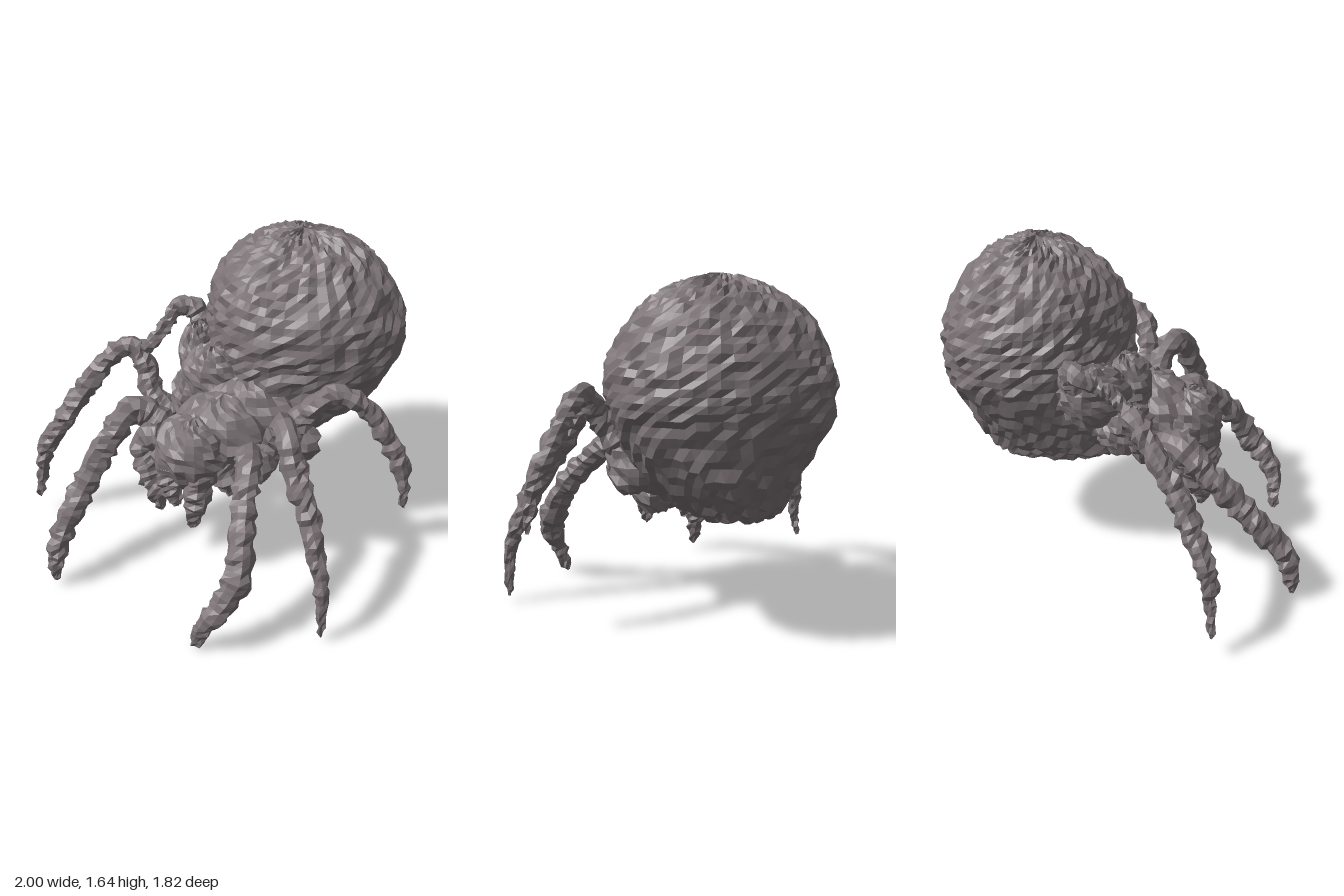
import * as THREE from 'three';

const hide = new THREE.MeshStandardMaterial({ color: 0x7d7477, flatShading: true });
hide.name = 'grey brown hide';

// Repeatable noise from a position, so shared corners move together
function noise(x, y, z) {
  const r = (v) => Math.round(v * 500);
  const s = Math.sin(r(x) * 12.9898 + r(y) * 78.233 + r(z) * 37.719) * 43758.5453;
  return (s - Math.floor(s)) * 2 - 1;
}

// Pushes each vertex in or out from a centre to give the crusty surface
function roughen(geo, amount, centreOf) {
  const p = geo.attributes.position;
  const v = new THREE.Vector3();
  for (let i = 0; i < p.count; i++) {
    v.fromBufferAttribute(p, i);
    const n = noise(v.x, v.y, v.z) * amount;
    const d = v.clone().sub(centreOf(i));
    if (d.length() > 1e-4) v.addScaledVector(d.normalize(), n);
    p.setXYZ(i, v.x, v.y, v.z);
  }
  geo.computeVertexNormals();
  return geo;
}

function part(name, geo) {
  const mesh = new THREE.Mesh(geo, hide);
  mesh.name = name;
  return mesh;
}

// Rough ellipsoid
function lump(name, [x, y, z], [rx, ry, rz], amount = 0.016, seg = 24) {
  const geo = new THREE.SphereGeometry(1, seg, Math.round(seg * 0.7));
  geo.scale(rx, ry, rz).translate(x, y, z);
  const c = new THREE.Vector3(x, y, z);
  return part(name, roughen(geo, amount, () => c));
}

// Knobbly limb through points [x, y, z, radius]
function limb(name, pts, amount = 0.012) {
  const curve = new THREE.CatmullRomCurve3(pts.map((p) => new THREE.Vector3(p[0], p[1], p[2])), false, 'centripetal');
  const steps = (pts.length - 1) * 6;
  const sides = 9;
  const geo = new THREE.TubeGeometry(curve, steps, 1, sides);
  const p = geo.attributes.position;
  const v = new THREE.Vector3();
  const centres = [];
  for (let i = 0; i <= steps; i++) {
    const u = i / steps;
    const c = curve.getPointAt(u);
    // getUtoTmapping keeps each radius at its own control point
    const t = curve.getUtoTmapping(u) * (pts.length - 1);
    const k = Math.min(Math.floor(t), pts.length - 2);
    let r = THREE.MathUtils.lerp(pts[k][3], pts[k + 1][3], t - k);
    r *= 1 + 0.1 * Math.sin(i * 1.7);
    if (i === 0 || i === steps) r = 0.003;
    for (let j = 0; j <= sides; j++) {
      const n = i * (sides + 1) + j;
      v.fromBufferAttribute(p, n).sub(c).multiplyScalar(r).add(c);
      p.setXYZ(n, v.x, v.y, v.z);
      centres.push(c);
    }
  }
  return part(name, roughen(geo, amount, (i) => centres[i]));
}

// Abdomen lofted from level sections: y, x min, x max, z min, z max
function abdomen() {
  const sections = [
    [0.56, 0.22, 0.22, -0.38, -0.38],
    [0.56, 0.02, 0.47, -0.64, -0.08],
    [0.63, -0.06, 0.6, -0.71, 0.0],
    [0.8, -0.11, 0.75, -0.79, 0.06],
    [1.0, -0.13, 0.84, -0.88, 0.07],
    [1.15, -0.13, 0.88, -0.9, 0.08],
    [1.3, -0.11, 0.84, -0.86, 0.06],
    [1.45, -0.04, 0.75, -0.77, -0.04],
    [1.56, 0.1, 0.63, -0.64, -0.17],
    [1.615, 0.22, 0.47, -0.5, -0.3],
    [1.63, 0.34, 0.34, -0.4, -0.4],
  ];
  const curves = [1, 2, 3, 4].map((k) => new THREE.CatmullRomCurve3(
    sections.map((s) => new THREE.Vector3(s[k], s[0], 0)), false, 'centripetal'));
  const rows = 44, cols = 60, pos = [], index = [];
  for (let i = 0; i <= rows; i++) {
    const [a, b, c, d] = curves.map((q) => q.getPoint(i / rows));
    const y = (a.y + b.y + c.y + d.y) / 4;
    // The widest line lies nearer the right side, so that side is fuller
    const cx = THREE.MathUtils.lerp(a.x, b.x, 0.41);
    // Low sections lean towards the left rear corner, high ones slightly away
    const skew = THREE.MathUtils.lerp(-0.42, 0.07, THREE.MathUtils.smoothstep(y, 0.55, 1.05));
    for (let j = 0; j < cols; j++) {
      const t = (j / cols) * Math.PI * 2;
      const cos = Math.cos(t);
      pos.push(cx + cos * (cos > 0 ? b.x - cx : cx - a.x), y,
        (c.x + d.x) / 2 + Math.sin(t + skew) * (d.x - c.x) / 2);
      if (i < rows) {
        const n = (j + 1) % cols, m = i * cols;
        index.push(m + j, m + cols + j, m + n, m + n, m + cols + j, m + cols + n);
      }
    }
  }
  const geo = new THREE.BufferGeometry();
  geo.setAttribute('position', new THREE.Float32BufferAttribute(pos, 3));
  geo.setIndex(index);
  const mid = new THREE.Vector3(0.35, 1.1, -0.4);
  return part('abdomen', roughen(geo, 0.015, () => mid));
}

export function createModel() {
  const g = new THREE.Group();
  g.name = 'spider';

  // Body
  g.add(abdomen());
  g.add(lump('waist', [0.18, 0.78, 0.0], [0.28, 0.24, 0.18]));
  g.add(lump('thorax', [0.07, 0.73, 0.12], [0.25, 0.23, 0.21]));
  g.add(lump('head', [-0.05, 0.71, 0.26], [0.19, 0.19, 0.17]));
  g.add(lump('shoulder', [-0.02, 0.96, -0.06], [0.16, 0.16, 0.13]));
  g.add(lump('sideLump', [-0.15, 0.98, -0.25], [0.09, 0.16, 0.17]));
  g.add(lump('lowerSideLump', [-0.14, 0.8, -0.1], [0.11, 0.15, 0.14]));

  // Leg sockets under and beside the thorax
  [
    [-0.25, 0.66, 0.08], [-0.18, 0.6, 0.2], [0.26, 0.68, 0.24], [0.36, 0.76, 0.15],
    [0.1, 0.54, 0.14], [-0.05, 0.57, 0.1], [0.24, 0.57, 0.08], [0.44, 0.7, 0.04],
  ].forEach((c) => g.add(lump('legSocket', c, [0.1, 0.1, 0.1], 0.016, 12)));

  // Legs, from body to tip
  g.add(limb('rightRearLeg', [
    [-0.22, 0.68, -0.02, 0.06], [-0.35, 0.8, -0.08, 0.06], [-0.42, 0.95, -0.15, 0.055],
    [-0.5, 1.01, -0.16, 0.05], [-0.63, 0.9, -0.11, 0.05], [-0.72, 0.77, -0.05, 0.055],
    [-0.82, 0.61, 0.0, 0.055], [-0.92, 0.43, 0.04, 0.045], [-0.95, 0.28, 0.05, 0.03], [-0.98, 0.11, 0.05, 0.012]]));
  g.add(limb('rightRearLegLink', [
    [-0.43, 0.99, -0.15, 0.04], [-0.34, 1.07, -0.22, 0.03], [-0.29, 1.15, -0.35, 0.045],
    [-0.22, 1.16, -0.38, 0.05], [-0.15, 1.08, -0.36, 0.07], [-0.05, 1.0, -0.33, 0.06]]));
  g.add(limb('rightFrontLeg', [
    [-0.18, 0.65, 0.12, 0.07], [-0.3, 0.73, 0.06, 0.075], [-0.4, 0.79, 0.08, 0.07],
    [-0.5, 0.67, 0.2, 0.065], [-0.57, 0.52, 0.33, 0.065], [-0.63, 0.38, 0.45, 0.065],
    [-0.67, 0.25, 0.55, 0.055], [-0.68, 0.13, 0.58, 0.04], [-0.69, 0.03, 0.59, 0.02]]));
  g.add(limb('leftFrontLeg', [
    [0.2, 0.68, 0.2, 0.07], [0.25, 0.77, 0.36, 0.06], [0.26, 0.69, 0.5, 0.06],
    [0.28, 0.53, 0.66, 0.06], [0.28, 0.37, 0.76, 0.07], [0.22, 0.26, 0.84, 0.06],
    [0.15, 0.14, 0.86, 0.04], [0.1, 0.0, 0.84, 0.02]]));
  g.add(limb('leftMiddleLeg', [
    [0.32, 0.72, 0.18, 0.07], [0.38, 0.92, 0.28, 0.055], [0.42, 0.98, 0.37, 0.055],
    [0.48, 0.82, 0.46, 0.06], [0.56, 0.65, 0.54, 0.055], [0.62, 0.48, 0.61, 0.045],
    [0.67, 0.25, 0.66, 0.03], [0.68, 0.03, 0.67, 0.012]]));
  g.add(limb('leftRearLeg', [
    [0.36, 0.74, 0.14, 0.07], [0.46, 0.94, 0.22, 0.055], [0.55, 1.05, 0.21, 0.055],
    [0.64, 1.08, 0.18, 0.05], [0.78, 0.98, 0.15, 0.045], [0.88, 0.84, 0.15, 0.05],
    [0.95, 0.7, 0.17, 0.04], [0.98, 0.49, 0.19, 0.015]]));

  // Fangs and feelers
  g.add(limb('leftFang', [[0.0, 0.7, 0.3, 0.08], [0.0, 0.55, 0.36, 0.07], [-0.02, 0.42, 0.37, 0.045], [-0.03, 0.32, 0.37, 0.015]]));
  g.add(limb('rightFang', [[-0.14, 0.7, 0.3, 0.08], [-0.15, 0.57, 0.34, 0.06], [-0.13, 0.47, 0.33, 0.04], [-0.11, 0.41, 0.32, 0.015]]));
  g.add(limb('rightFeeler', [
    [-0.2, 0.72, 0.18, 0.07], [-0.33, 0.66, 0.17, 0.07], [-0.29, 0.54, 0.22, 0.07],
    [-0.24, 0.44, 0.27, 0.055], [-0.21, 0.33, 0.28, 0.015]]));
  g.add(limb('leftFeeler', [[0.08, 0.68, 0.26, 0.08], [0.13, 0.58, 0.28, 0.07], [0.13, 0.47, 0.22, 0.03]]));
  return g;
}
